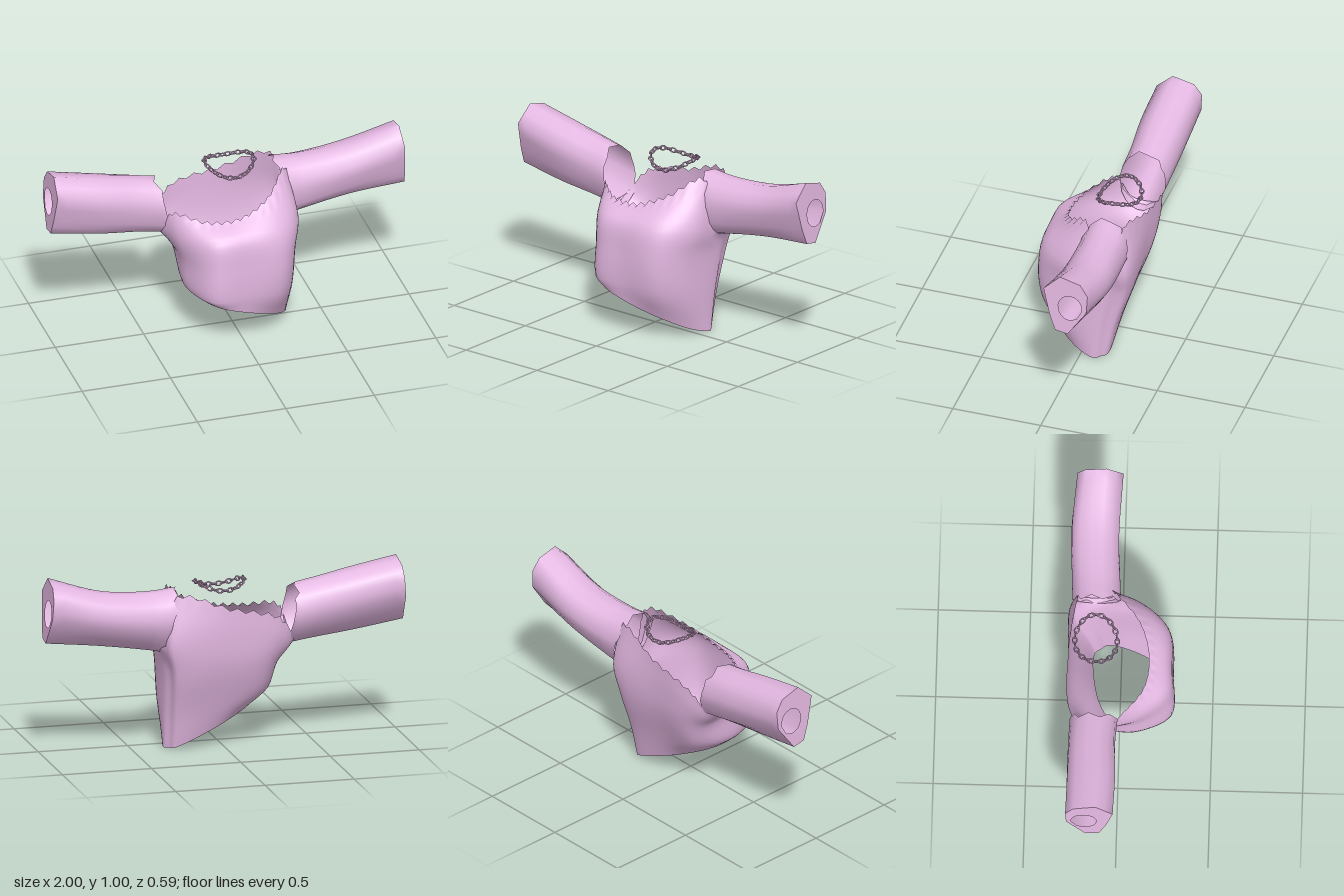
import * as THREE from 'three';

const V = (p) => new THREE.Vector3(p[0], p[1], p[2]);

// Body rings, 12 columns each, running from front centre round by the +x side.
const HEM = [[0, .195, .265], [.18, .115, .185], [.29, .03, .03], [.32, 0, -.08], [.297, .003, -.113], [.27, .01, -.145],
  [.03, .11, -.135], [-.13, .185, -.085], [-.185, .21, -.035], [-.215, .225, .03], [-.23, .25, .12], [-.15, .245, .26]];
const WAIST = [[0, .3, .285], [.21, .27, .25], [.31, .24, .1], [.325, .2, -.1], [.3, .2, -.143], [.275, .2, -.185],
  [0, .25, -.19], [-.19, .29, -.175], [-.25, .3, -.12], [-.28, .3, -.03], [-.28, .3, .1], [-.18, .29, .28]];
const RIBS = [[0, .48, .285], [.22, .48, .265], [.32, .48, .125], [.335, .45, -.13], [.315, .45, -.195], [.29, .45, -.255],
  [0, .48, -.265], [-.22, .48, -.25], [-.29, .46, -.18], [-.305, .46, -.06], [-.29, .46, .1], [-.18, .48, .275]];
const CHEST = [[0, .64, .26], [.22, .64, .23], [.35, .63, .08], [.355, .55, -.08], [.345, .55, -.2], [.32, .62, -.275],
  [0, .65, -.282], [-.27, .62, -.272], [-.345, .54, -.2], [-.35, .54, -.06], [-.325, .6, .08], [-.18, .63, .245]];
const NECK = [[0, .72, .155], [.17, .79, .1], [.305, .882, -.04], [.375, .6, -.07], [.375, .6, -.2], [.285, .872, -.235],
  [0, .8, -.28], [-.28, .73, -.276], [-.38, .59, -.2], [-.385, .59, -.07], [-.345, .73, .01], [-.18, .71, .13]];

// Sleeve sections: x at top, x at bottom, y top, y bottom, z back, z front, roundness.
const LEFT = [[.27, .36, .905, .555, -.27, -.005, 1], [.41, .43, .892, .57, -.275, -.01, .9],
  [.68, .7, .91, .615, -.287, -.018, .5], [.975, 1, .997, .645, -.26, -.01, 0]];
const RIGHT = [[-.4, -.33, .885, .55, -.265, -.005, 1], [-.52, -.48, .908, .575, -.27, -.01, .8],
  [-.72, -.72, .948, .605, -.272, -.003, .4], [-.975, -1, .997, .65, -.272, -.015, 0]];

// Cuff outline in a unit box, with a midpoint added on every edge.
const CORNERS = [[1, .49], [.27, 1], [-.66, .83], [-1, .46], [-.96, -.14], [-.14, -1], [.43, -.93], [.7, -.4]];
const OUTLINE = CORNERS.flatMap((a, i) => {
  const b = CORNERS[(i + 1) % CORNERS.length];
  return [a, [(a[0] + b[0]) / 2, (a[1] + b[1]) / 2]];
});

// Skin over a stack of closed rings.
function loft(rows) {
  const n = rows[0].length, index = [];
  for (let r = 0; r < rows.length - 1; r++) {
    for (let i = 0; i < n; i++) {
      const a = r * n + i, b = r * n + (i + 1) % n;
      index.push(a, b, b + n, a, b + n, a + n);
    }
  }
  const g = new THREE.BufferGeometry().setFromPoints(rows.flat());
  g.setIndex(index);
  g.computeVertexNormals();
  return g;
}

// Smooth interpolation between rings with matching columns.
function refine(rings, steps) {
  const curves = rings[0].map((_, i) => new THREE.CatmullRomCurve3(rings.map((r) => r[i])));
  return Array.from({ length: steps + 1 }, (_, s) => curves.map((c) => c.getPoint(s / steps)));
}

// Places a point of the unit box into a sleeve section.
function place(s, u, v) {
  const k = (v + 1) / 2, w = (u + 1) / 2;
  return new THREE.Vector3(
    THREE.MathUtils.lerp(s[1], s[0], k),
    THREE.MathUtils.lerp(s[3], s[2], k),
    THREE.MathUtils.lerp(s[4], s[5], w));
}

function sleeve(name, sections, mat) {
  const group = new THREE.Group();
  group.name = name;
  const rings = sections.map((s) => OUTLINE.map(([u, v]) => {
    const l = Math.hypot(u, v), m = THREE.MathUtils.lerp(1, 1 / l, s[6]);
    return place(s, u * m, v * m);
  }));
  const rows = refine(rings, 15);
  // ragged upper edge at the neck
  rows[0].forEach((p, i) => { if (p.y > .8) p.x += i % 2 ? .012 : -.012; });
  const tube = new THREE.Mesh(loft(rows), mat);
  tube.name = 'sleeveTube';

  // flat cuff with an opening for the wrist
  const end = sections[sections.length - 1];
  const hole = OUTLINE.map(([u, v]) => {
    const a = Math.atan2(v + .06, u + .22);
    return place(end, -.22 + .54 * Math.cos(a), -.06 + .43 * Math.sin(a));
  });
  const cuff = new THREE.Mesh(loft([rings[rings.length - 1], hole]), mat);
  cuff.name = 'cuff';
  group.add(tube, cuff);
  return group;
}

function torso(mat) {
  const columns = 84;
  const rings = [HEM, WAIST, RIBS, CHEST, NECK].map((ring) => {
    const c = new THREE.CatmullRomCurve3(ring.map(V), true);
    return Array.from({ length: columns }, (_, i) => c.getPoint(i / columns));
  });
  const rows = refine(rings, 20);
  // ragged neckline, plain where it tucks into the sleeves
  rows[rows.length - 1].forEach((p, i) => { if (p.y > .69) p.y += i % 2 ? .011 : -.011; });
  const mesh = new THREE.Mesh(loft(rows), mat);
  mesh.name = 'torso';
  return mesh;
}

function necklace(mat) {
  const group = new THREE.Group();
  group.name = 'necklace';
  const path = new THREE.CatmullRomCurve3(Array.from({ length: 24 }, (_, i) => {
    const a = i / 24 * Math.PI * 2, c = Math.cos(a), s = Math.sin(a);
    return new THREE.Vector3(.022 + .135 * c, .886 - .01 * s + .045 * c * c, -.133 + .115 * s);
  }), true);
  const link = new THREE.TorusGeometry(.012, .004, 5, 10);
  link.scale(1.45, 1, 1);
  const count = 28, up = new THREE.Vector3(0, 1, 0);
  for (let i = 0; i < count; i++) {
    const t = path.getTangentAt(i / count);
    const side = new THREE.Vector3().crossVectors(t, up).normalize();
    const top = new THREE.Vector3().crossVectors(side, t);
    const m = new THREE.Mesh(link, mat);
    m.name = 'chainLink';
    m.quaternion.setFromRotationMatrix(new THREE.Matrix4().makeBasis(t, top, side));
    if (i % 2) m.rotateX(Math.PI / 2);
    m.position.copy(path.getPointAt(i / count));
    group.add(m);
  }
  return group;
}

export function createModel() {
  const cloth = new THREE.MeshStandardMaterial({ color: 0xe4b8e2 });
  cloth.name = 'lilac cloth';
  cloth.side = THREE.DoubleSide;
  const model = new THREE.Group();
  model.name = 'croppedTop';
  model.add(torso(cloth), sleeve('leftSleeve', LEFT, cloth), sleeve('rightSleeve', RIGHT, cloth), necklace(cloth));
  return model;
}
